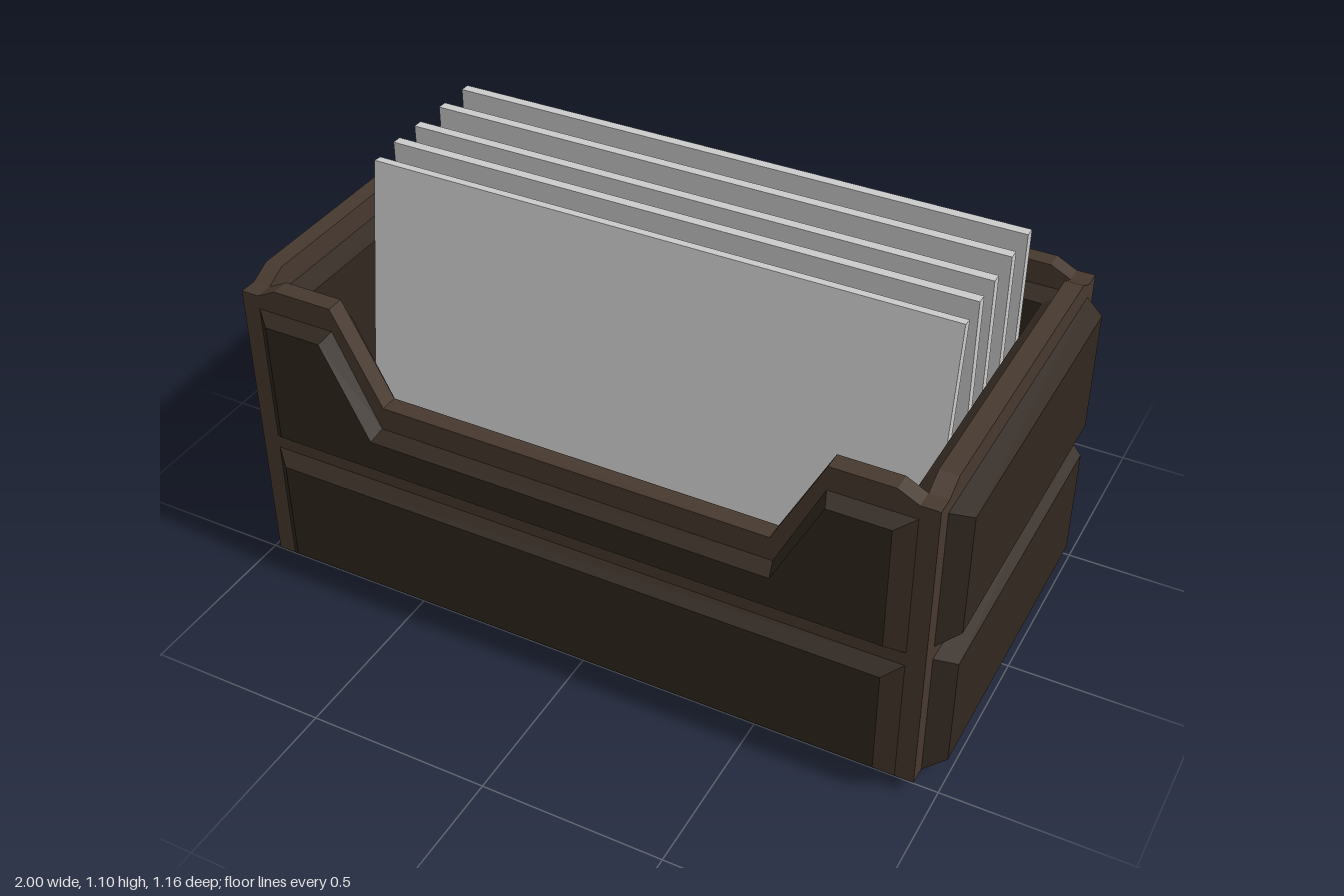
import * as THREE from 'three';

const frameMat = new THREE.MeshStandardMaterial({ color: 0x47392f, flatShading: true });
const panelMat = new THREE.MeshStandardMaterial({ color: 0x31271f, flatShading: true });
const cardMat = new THREE.MeshStandardMaterial({ color: 0xcccccc, flatShading: true });

// Outer half width, half depth and beam thickness of the frame
const W = 0.947, D = 0.538, T = 0.05;

// Right half of an outline (bottom to top, ending at the middle) completed by its mirror image
function mirrored(half) {
  const pts = half.map(([x, y]) => new THREE.Vector2(x, y));
  const left = half.map(([x, y]) => new THREE.Vector2(-x, y)).reverse();
  return [...pts, ...left];
}

// Raised panel: bevel from the outer outline up to the inner outline, then a flat face
function panelGeometry(outer, inner, depth) {
  const pos = [];
  const lo = (p) => [p.x, p.y, 0];
  const hi = (p) => [p.x, p.y, depth];
  outer.forEach((a, i) => {
    const j = (i + 1) % outer.length;
    const [A, B, C, E] = [lo(a), lo(outer[j]), hi(inner[j]), hi(inner[i])];
    pos.push(...A, ...B, ...C, ...A, ...C, ...E);
  });
  for (const f of THREE.ShapeUtils.triangulateShape(inner, [])) {
    f.forEach((k) => pos.push(...hi(inner[k])));
  }
  const geo = new THREE.BufferGeometry();
  geo.setAttribute('position', new THREE.Float32BufferAttribute(pos, 3));
  geo.computeVertexNormals();
  return geo;
}

export function createModel() {
  const model = new THREE.Group();

  // Adds a mesh built in the xy plane, turned about y and pushed out along its facing
  function place(name, geo, mat, angle, dist) {
    const mesh = new THREE.Mesh(geo, mat);
    mesh.name = name;
    mesh.rotation.y = angle;
    mesh.position.set(Math.sin(angle) * dist, 0, Math.cos(angle) * dist);
    model.add(mesh);
  }

  const sides = [
    { name: 'front', angle: 0, half: W, dist: D, long: true, notch: true },
    { name: 'back', angle: Math.PI, half: W, dist: D, long: true },
    { name: 'left', angle: Math.PI / 2, half: D, dist: W },
    { name: 'right', angle: -Math.PI / 2, half: D, dist: W },
  ];

  for (const { name, angle, half, dist, long, notch } of sides) {
    const e = half - T;                    // panel edge beside the posts
    const i = e - (long ? 0.045 : 0.037);  // flat face edge of the panels
    const cut = (xTop, xLow, y) => (notch ? [[xTop, y], [xLow, y - 0.26]] : []);

    // Frame wall with a raised top edge; the front dips in the middle
    const end = long ? half : e;
    const wall = mirrored([[end, 0.045], [end, 0.897], [e, 0.897], [e - 0.055, 0.925],
      ...cut(0.675, 0.54, 0.925)]);
    place(name + 'Frame', new THREE.ExtrudeGeometry(new THREE.Shape(wall),
      { depth: T, bevelEnabled: false }), frameMat, angle, dist - T);

    // Two raised panels outside
    const out = long ? 0.04 : 0.053;
    place(name + 'LowerPanel', panelGeometry(
      mirrored([[e, 0.045], [e, 0.415]]),
      mirrored([[i, long ? 0.09 : 0.07], [i, 0.39]]), out), panelMat, angle, dist);
    place(name + 'UpperPanel', panelGeometry(
      mirrored([[e, 0.455], [e, 0.858], ...cut(0.675, 0.55, 0.858)]),
      mirrored([[i, 0.49], [i, 0.838], ...cut(0.69, 0.56, 0.838)]), out), panelMat, angle, dist);

    // One raised panel inside, mitred into its neighbours
    const k = e - 0.053;
    place(name + 'InnerPanel', panelGeometry(
      mirrored([[e, 0.045], [e, 0.858], ...cut(0.675, 0.55, 0.858)]),
      mirrored([[k, 0.045], [k, 0.838], ...cut(0.69, 0.56, 0.838)]), 0.053),
    panelMat, angle + Math.PI, T - dist);
  }

  // Base with a chamfered underside
  const base = new THREE.BoxGeometry(2 * W, 0.045, 2 * D);
  base.translate(0, 0.0225, 0);
  const p = base.attributes.position;
  for (let n = 0; n < p.count; n++) {
    if (p.getY(n) < 0.02) {
      p.setX(n, Math.sign(p.getX(n)) * (W - T));
      p.setZ(n, Math.sign(p.getZ(n)) * (D - T));
    }
  }
  base.computeVertexNormals();
  place('base', base, panelMat, 0, 0);

  // Floor inside the box
  const floor = new THREE.BoxGeometry(2 * (W - T), 0.02, 2 * (D - T));
  floor.translate(0, 0.05, 0);
  place('floor', floor, panelMat, 0, 0);

  // Upright cards, the front one leaning back
  const cardGeo = new THREE.BoxGeometry(1.64, 1.04, 0.028);
  cardGeo.translate(0, 0.52, 0);
  [[0.24, -0.144], [0, 0], [-0.1, 0], [-0.22, 0], [-0.335, 0]].forEach(([z, lean], n) => {
    const card = new THREE.Mesh(cardGeo, cardMat);
    card.name = 'card' + (n + 1);
    card.position.set(0, 0.06, z);
    card.rotation.x = lean;
    model.add(card);
  });

  return model;
}
